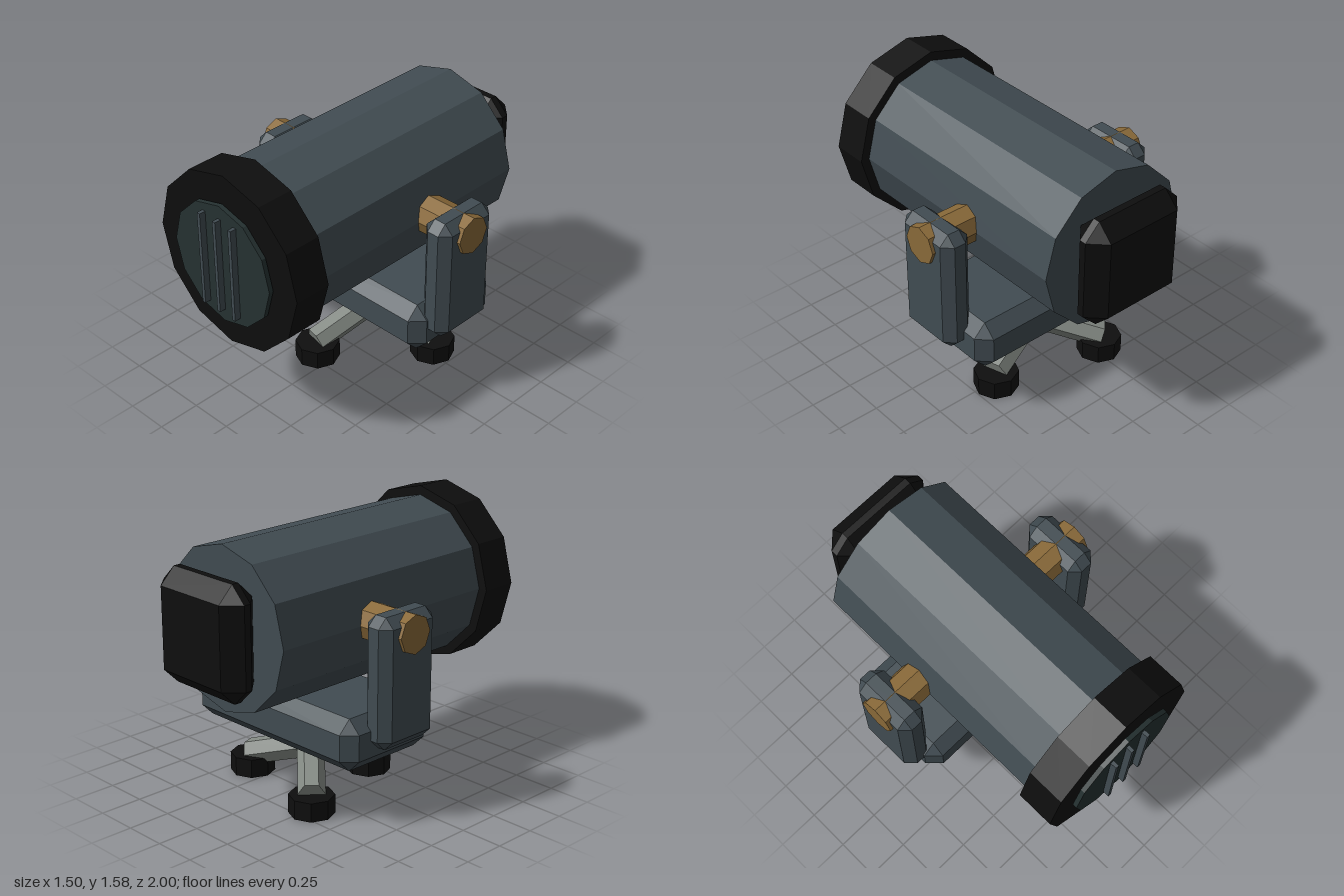
import * as THREE from 'three';
import { ConvexGeometry } from 'three/addons/geometries/ConvexGeometry.js';

const paint = (name, color) => {
  const m = new THREE.MeshStandardMaterial({ color });
  m.name = name;
  return m;
};

// Faceted normals for low-poly solids
function facet(geometry) {
  const g = geometry.index ? geometry.toNonIndexed() : geometry;
  g.computeVertexNormals();
  return g;
}

// Box with every edge cut at 45 degrees and triangular corners
function chamferBox(w, h, d, c) {
  const points = [];
  for (const sx of [-1, 1]) for (const sy of [-1, 1]) for (const sz of [-1, 1]) {
    for (let axis = 0; axis < 3; axis++) {
      const inset = [c, c, c];
      inset[axis] = 0;
      points.push(new THREE.Vector3(
        sx * (w / 2 - inset[0]), sy * (h / 2 - inset[1]), sz * (d / 2 - inset[2])));
    }
  }
  return facet(new ConvexGeometry(points));
}

const prism = (radius, length, sides) => facet(new THREE.CylinderGeometry(radius, radius, length, sides));

export function createModel() {
  const model = new THREE.Group();
  const gunmetal = paint('gunmetal', 0x414c52);
  const black = paint('black rubber', 0x0e0e0e);
  const glass = paint('dark glass', 0x253131);
  const brass = paint('brass', 0x8a6a39);
  const steel = paint('grey steel', 0x848a84);

  const add = (name, geometry, material, x, y, z, parent = model) => {
    const mesh = new THREE.Mesh(geometry, material);
    mesh.name = name;
    mesh.position.set(x, y, z);
    parent.add(mesh);
    return mesh;
  };

  // Barrel, front ring and lens share one axis along z
  const axisY = 1.066;
  const alongZ = (name, radius, z0, z1, material) =>
    add(name, prism(radius, z1 - z0, 12).rotateX(Math.PI / 2), material, 0, axisY, (z0 + z1) / 2);
  alongZ('barrel', 0.46, -0.78, 0.72, gunmetal);
  alongZ('frontRing', 0.513, 0.706, 0.925, black);
  alongZ('lens', 0.355, 0.936, 0.963, glass);
  for (const x of [-0.115, 0, 0.115]) {
    add('lensBar', facet(new THREE.BoxGeometry(0.021, 0.555, 0.04)), gunmetal, x, axisY, 0.98);
  }

  // Rear cap
  add('rearCap', chamferBox(0.64, 0.64, 0.22, 0.09), black, 0, 1.07, -0.89);

  // Yoke: cross beam, two arms and the pivot pin
  add('yokeBeam', chamferBox(1.26, 0.295, 0.64, 0.073), gunmetal, 0, 0.478, -0.167);
  for (const side of [-1, 1]) {
    add('yokeArm', chamferBox(0.18, 0.73, 0.4, 0.054), gunmetal, side * 0.641, 0.81, -0.129);
  }
  add('pivotPin', prism(0.109, 1.5, 8).rotateZ(Math.PI / 2), brass, 0, 1.067, -0.129);

  // Tripod: three sloping legs ending in feet
  const hubY = 0.243, endY = 0.112, reach = 0.397;
  const tilt = Math.atan2(hubY - endY, reach);
  for (let i = 0; i < 3; i++) {
    const angle = -0.3 + i * Math.PI * 2 / 3;
    const leg = new THREE.Group();
    leg.name = 'tripodLeg';
    leg.position.z = -0.165;
    leg.rotation.y = -angle;
    model.add(leg);
    const beam = prism(0.077, Math.hypot(reach, hubY - endY), 6).rotateZ(-Math.PI / 2 - tilt);
    add('legBeam', beam, steel, reach / 2, (hubY + endY) / 2, 0, leg);
    add('foot', prism(0.128, 0.11, 8), black,
      0.385 * Math.cos(angle), 0.055, -0.165 + 0.385 * Math.sin(angle));
  }
  return model;
}
